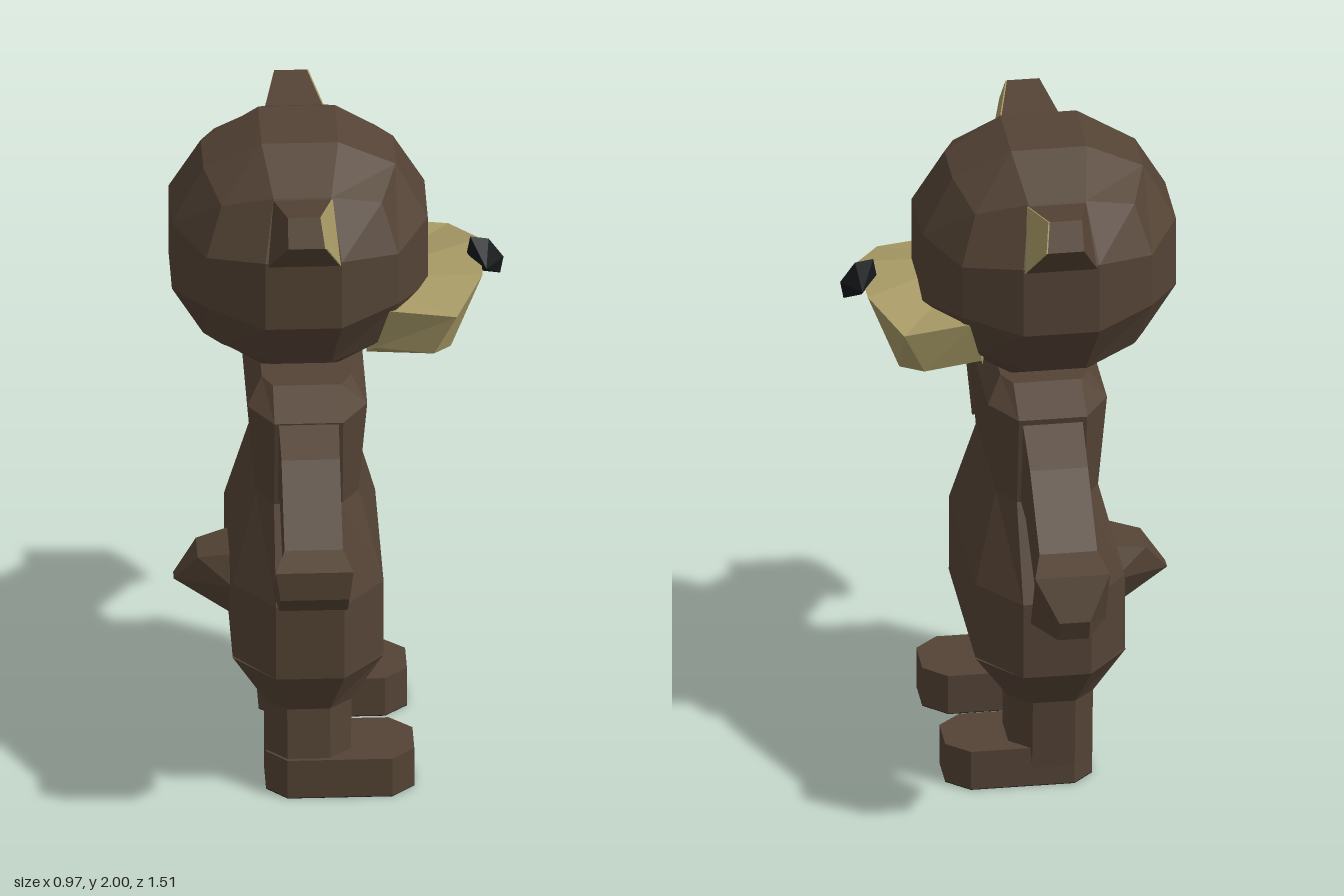
import * as THREE from 'three';
import { ConvexGeometry } from 'three/addons/geometries/ConvexGeometry.js';

const material = (color) => new THREE.MeshStandardMaterial({ color, flatShading: true, roughness: 0.9 });
const brown = material(0x544335), tan = material(0xa89a66), black = material(0x15171a);
tan.side = THREE.DoubleSide;

// Joins rings of [x, y, z] points with quads, caps both ends, and turns the faces outward.
function loft(rings) {
  const tris = [], n = rings[0].length;
  for (let i = 0; i < rings.length - 1; i++)
    for (let j = 0; j < n; j++) {
      const k = (j + 1) % n, a = rings[i][j], b = rings[i][k], c = rings[i + 1][k], d = rings[i + 1][j];
      tris.push([a, b, c], [a, c, d]);
    }
  const last = rings[rings.length - 1];
  for (let j = 1; j < n - 1; j++) {
    tris.push([rings[0][0], rings[0][j + 1], rings[0][j]]);
    tris.push([last[0], last[j], last[j + 1]]);
  }
  let volume = 0;
  for (const [a, b, c] of tris) {
    const v = (p) => new THREE.Vector3(...p);
    volume += v(a).dot(v(b).cross(v(c)));
  }
  if (volume < 0) tris.forEach((t) => t.reverse());
  const g = new THREE.BufferGeometry();
  g.setAttribute('position', new THREE.Float32BufferAttribute(tris.flat(2), 3));
  g.computeVertexNormals();
  return g;
}

// Convex solid around a few corners
const hull = (points) => new ConvexGeometry(points.map((p) => new THREE.Vector3(...p)));

// Eight-sided horizontal ring: x range, z range, flat side span in x, flat front span in z
const ring = (y, x0, x1, z0, z1, s0, s1, f0, f1) => [
  [x1, y, f0], [x1, y, f1], [s1, y, z1], [s0, y, z1],
  [x0, y, f1], [x0, y, f0], [s0, y, z0], [s1, y, z0],
];

export function createModel() {
  const model = new THREE.Group();
  const add = (name, geometry, mat = brown, parent = model) => {
    const mesh = new THREE.Mesh(geometry, mat);
    mesh.name = name;
    parent.add(mesh);
    return mesh;
  };
  const group = (name) => {
    const g = new THREE.Group();
    g.name = name;
    model.add(g);
    return g;
  };

  // Head: a three-by-three box pushed out to a sphere
  const head = new THREE.BoxGeometry(2, 2, 2, 3, 3, 3);
  const pos = head.attributes.position, v = new THREE.Vector3();
  const even = (t) => (Math.abs(t) < 0.9 ? Math.sign(t) * 0.3 : t);
  for (let i = 0; i < pos.count; i++) {
    v.fromBufferAttribute(pos, i);
    v.set(even(v.x), even(v.y), even(v.z)).setLength(0.405);
    pos.setXYZ(i, v.x - 0.115, v.y * 0.98 + 1.636, v.z);
  }
  add('head', head);

  // Muzzle: bottom and top outlines, mirrored across z
  const mirrored = (half) => [...half, ...half.map(([x, y, z]) => [x, y, -z]).reverse()];
  add('muzzle', loft([
    mirrored([[0.08, 1.302, 0.11], [0.1, 1.38, 0.23], [0.27, 1.365, 0.245], [0.325, 1.315, 0.11]]),
    mirrored([[0.05, 1.55, 0.11], [0.12, 1.53, 0.28], [0.335, 1.505, 0.283], [0.418, 1.55, 0.11]]),
  ]), tan);

  // Nose: tilted six-sided double pyramid pointing sideways
  const nose = add('nose', new THREE.SphereGeometry(1, 6, 2).rotateX(Math.PI / 2).scale(0.075, 0.045, 0.087), black);
  nose.rotation.z = -0.95;
  nose.position.set(0.43, 1.555, 0);

  // Ears with a pale front face
  for (const s of [1, -1]) {
    const ear = group(s > 0 ? 'leftEar' : 'rightEar');
    const back = [[-0.22, 1.735, 0.375 * s], [-0.165, 1.857, 0.49 * s], [-0.165, 1.937, 0.445 * s], [-0.2, 1.905, 0.28 * s]];
    const front = [[-0.01, 1.735, 0.375 * s], [-0.058, 1.857, 0.49 * s], [-0.07, 1.937, 0.445 * s], [-0.03, 1.905, 0.28 * s]];
    add('earShell', loft([back, front]), brown, ear);
    add('earInner', loft([front, front.map(([x, y, z]) => [x + 0.004, y, z])]), tan, ear);
  }

  // Torso
  const c = 0.035;
  add('torso', loft([
    [0.41, -0.32, 0.12, 0.425, 0.275], [0.65, -0.32, 0.12, 0.425, 0.275],
    [0.92, -0.25, 0.05, 0.29, 0.21], [1.21, -0.275, 0.075, 0.335, 0.22],
    [1.275, -0.23, 0.03, 0.22, 0.16],
  ].map(([y, x0, x1, w, f]) => ring(y, x0, x1, c - w, c + w, -0.2, 0, c - f, c + f))));

  // Arms: rectangular sections [top z, top y, bottom z, bottom y, half width]
  const arm = (name, sections) => add(name, loft(sections.map(([tz, ty, bz, by, w]) => [
    [-0.1 - w, ty, tz], [-0.1 + w, ty, tz], [-0.1 + w, by, bz], [-0.1 - w, by, bz],
  ])));
  arm('leftArm', [
    [0.25, 1.265, 0.28, 0.93, 0.09], [0.48, 1.15, 0.375, 0.95, 0.085], [0.68, 0.96, 0.555, 0.84, 0.085],
    [0.755, 0.925, 0.587, 0.767, 0.113], [0.755, 0.835, 0.675, 0.757, 0.1],
  ]);
  arm('rightArm', [
    [-0.2, 1.255, -0.24, 0.93, 0.09], [-0.425, 1.11, -0.34, 0.905, 0.085], [-0.62, 0.937, -0.56, 0.757, 0.085],
    [-0.71, 0.905, -0.615, 0.71, 0.11], [-0.757, 0.778, -0.73, 0.71, 0.045],
  ]);

  // Legs with feet; each row is y, back x, front x, inner z, outer z
  const leg = (name, rows, z0, z1) => {
    const g = group(name);
    add('thighAndShin', loft(rows.map(([y, x0, x1, a, b], i) => {
      const e = (b - a) * (i ? 0.25 : 0.35);
      return ring(y, x0, x1, a, b, i ? -0.165 : -0.2, i ? -0.04 : 0, a + e, b - e);
    })), brown, g);
    const e = (z1 - z0) * 0.25;
    const foot = (y) => ring(y, -0.225, 0.207, z0, z1, -0.165, 0.14, z0 + e, z1 - e);
    add('foot', loft([foot(0.002), foot(0.125)]), brown, g);
    add('sole', loft([foot(0), foot(0.002)]), black, g);
  };
  leg('leftLeg', [
    [0.41, -0.32, 0.12, 0.065, 0.46], [0.28, -0.225, 0.025, 0.17, 0.405], [0.06, -0.225, 0.022, 0.187, 0.43],
  ], 0.185, 0.435);
  leg('rightLeg', [
    [0.41, -0.32, 0.12, -0.39, 0.005], [0.28, -0.225, 0.025, -0.305, -0.07], [0.06, -0.225, 0.022, -0.29, -0.055],
  ], -0.29, -0.05);

  // Tail
  add('tail', hull([
    [-0.28, 0.65, c - 0.09], [-0.28, 0.65, c + 0.09], [-0.28, 0.41, c - 0.06], [-0.28, 0.41, c + 0.06],
    [-0.31, 0.55, c - 0.12], [-0.31, 0.55, c + 0.12], [-0.412, 0.62, c - 0.06], [-0.412, 0.62, c + 0.06],
    [-0.48, 0.53, c - 0.02], [-0.48, 0.53, c + 0.02],
  ]));
  return model;
}
